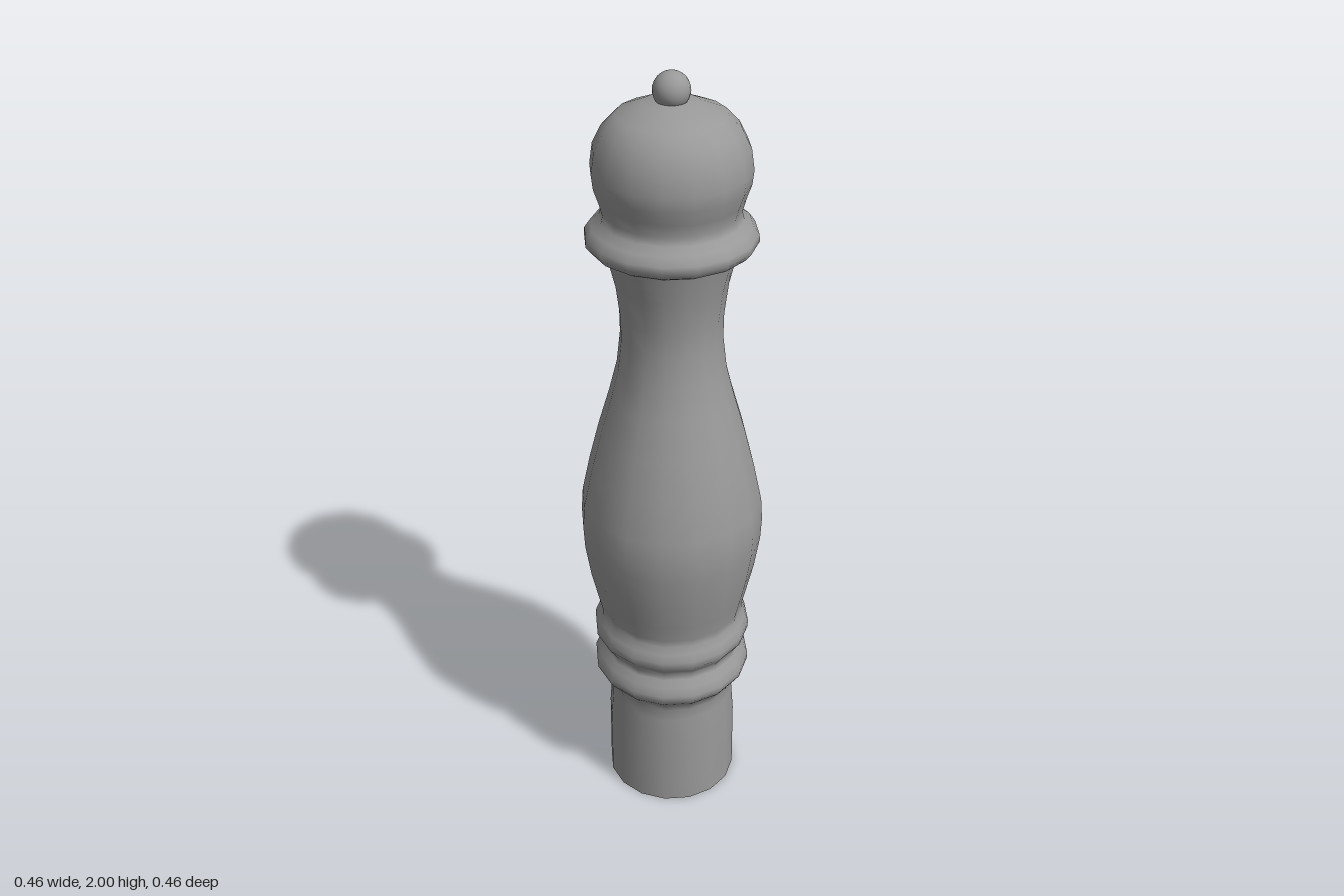
import * as THREE from 'three';

const SIDES = 16;
const material = new THREE.MeshStandardMaterial({ color: 0x999999 });

// Turned part from [radius, height] pairs, listed bottom to top
function turned(name, profile) {
  const points = profile.map(([r, y]) => new THREE.Vector2(r, y));
  const mesh = new THREE.Mesh(new THREE.LatheGeometry(points, SIDES), material);
  mesh.name = name;
  return mesh;
}

export function createModel() {
  const mill = new THREE.Group();
  mill.name = 'pepperMill';

  mill.add(turned('underside', [[0, 0], [0.172, 0]]));

  // One smooth turning: foot, two rings, swelling body and narrow waist
  mill.add(turned('body', [
    [0.172, 0], [0.171, 0.2], [0.165, 0.28], [0.165, 0.315],
    [0.173, 0.338], [0.193, 0.36], [0.205, 0.378], [0.206, 0.395],
    [0.197, 0.418], [0.183, 0.436], [0.179, 0.45],
    [0.19, 0.468], [0.204, 0.488], [0.205, 0.508], [0.197, 0.53],
    [0.186, 0.548], [0.187, 0.568], [0.198, 0.615],
    [0.215, 0.69], [0.229, 0.78], [0.232, 0.84], [0.228, 0.9],
    [0.207, 1.0], [0.182, 1.1], [0.153, 1.2], [0.133, 1.28],
    [0.124, 1.36], [0.125, 1.42], [0.135, 1.5], [0.156, 1.585],
  ]));

  // Domed head flowing out of its collar, flat below
  mill.add(turned('collarUnderside', [[0.15, 1.58], [0.168, 1.58]]));
  mill.add(turned('head', [
    [0.168, 1.58], [0.19, 1.592], [0.203, 1.608], [0.202, 1.625],
    [0.188, 1.645], [0.167, 1.66], [0.162, 1.68], [0.17, 1.71],
    [0.182, 1.745], [0.186, 1.78], [0.179, 1.83], [0.158, 1.872],
    [0.127, 1.904], [0.065, 1.93], [0, 1.937],
  ]));

  // Finial knob
  const knob = new THREE.Mesh(new THREE.SphereGeometry(0.043, 20, 14), material);
  knob.name = 'knob';
  knob.position.y = 1.957;
  mill.add(knob);

  return mill;
}
